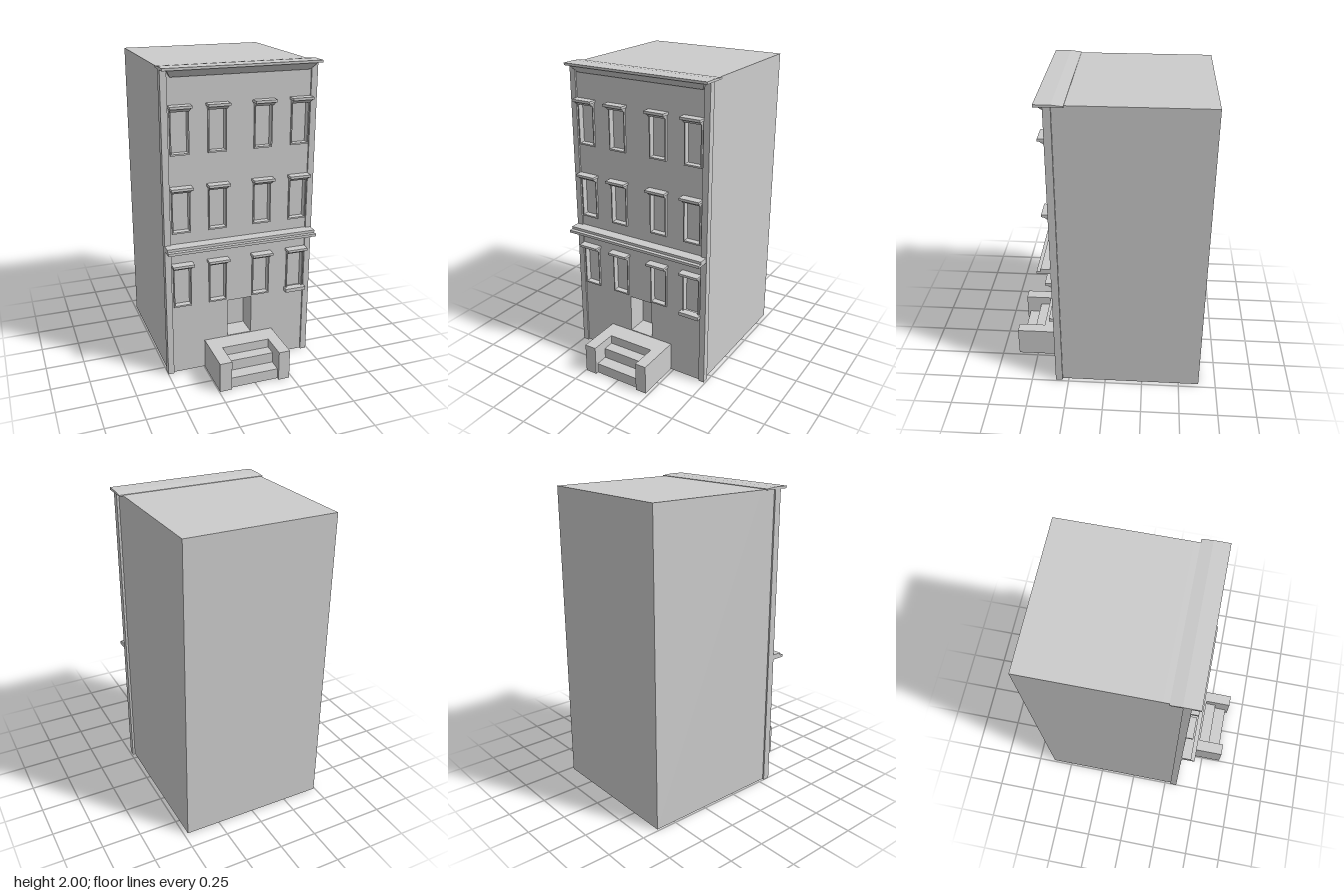
import * as THREE from 'three';

const material = new THREE.MeshStandardMaterial({ color: 0xcccccc, side: THREE.DoubleSide });
const FACE = 0.327; // z of the front wall

function add(parent, name, geometry) {
  const mesh = new THREE.Mesh(geometry, material);
  mesh.name = name;
  parent.add(mesh);
  return mesh;
}

// Box given by its limits
function box(x0, x1, y0, y1, z0, z1) {
  return new THREE.BoxGeometry(x1 - x0, y1 - y0, z1 - z0)
    .translate((x0 + x1) / 2, (y0 + y1) / 2, (z0 + z1) / 2);
}

// Box whose underside is narrower and shallower than its top
function bracket(x0, x1, y0, y1, z0, z1, inset, zBottom) {
  const g = box(x0, x1, y0, y1, z0, z1);
  const p = g.attributes.position;
  const mid = (x0 + x1) / 2;
  const middleY = (y0 + y1) / 2;
  for (let i = 0; i < p.count; i++) {
    if (p.getY(i) > middleY) continue;
    p.setX(i, p.getX(i) - Math.sign(p.getX(i) - mid) * inset);
    if (p.getZ(i) > (z0 + z1) / 2) p.setZ(i, zBottom);
  }
  g.computeVertexNormals();
  return g;
}

// Side profile of [z, y] points, run along x
function profileAlongX(x0, x1, points) {
  const shape = new THREE.Shape(points.map(([z, y]) => new THREE.Vector2(z, y)));
  return new THREE.ExtrudeGeometry(shape, { depth: x1 - x0, bevelEnabled: false })
    .rotateY(-Math.PI / 2).translate(x1, 0, 0);
}

function rectangle(Type, x0, x1, y0, y1) {
  return new Type([[x0, y0], [x1, y0], [x1, y1], [x0, y1]].map(([x, y]) => new THREE.Vector2(x, y)));
}

export function createModel() {
  const model = new THREE.Group();
  model.name = 'townhouse';

  const columns = [-0.39, -0.155, 0.14, 0.383];
  const rows = [0.48, 0.983, 1.478]; // bottom of each window
  const half = 0.052;
  const height = 0.262;

  // Rear block and front wall with openings for door and windows
  const rear = 0.185;
  add(model, 'mainBlock', box(-0.49, 0.475, 0.003, 1.99, -0.635, rear));
  const wall = rectangle(THREE.Shape, -0.49, 0.475, 0.003, 1.99);
  wall.holes.push(rectangle(THREE.Path, -0.085, 0.08, 0.205, 0.465));
  for (const y of rows) {
    for (const x of columns) {
      wall.holes.push(rectangle(THREE.Path, x - half, x + half, y + 0.01, y + height));
    }
  }
  add(model, 'frontWall', new THREE.ExtrudeGeometry(wall, { depth: FACE - rear, bevelEnabled: false })
    .translate(0, 0, rear));

  // Windows: recessed pane, thin frame and projecting hood
  for (const y of rows) {
    for (const x of columns) {
      const win = new THREE.Group();
      win.name = 'window';
      win.position.set(x, y, 0);
      model.add(win);
      add(win, 'pane', box(-half, half, 0.01, height, 0.28, 0.3));
      const frame = rectangle(THREE.Shape, -0.059, 0.059, 0, height + 0.005);
      frame.holes.push(rectangle(THREE.Path, -half, half, 0.01, height));
      add(win, 'frame', new THREE.ExtrudeGeometry(frame, { depth: 0.02, bevelEnabled: false })
        .translate(0, 0, 0.32));
      add(win, 'hoodBracket', bracket(-0.064, 0.064, height, 0.285, 0.32, 0.376, 0.005, 0.345));
      add(win, 'hood', box(-0.069, 0.069, 0.285, 0.301, 0.32, 0.383));
    }
  }
  add(model, 'windowSill', box(0.313, 0.452, 0.473, 0.497, 0.32, 0.37));

  // Corner pilasters
  for (const x of [-0.48, 0.47]) {
    add(model, 'pilaster', box(x - 0.02, x + 0.02, 0, 1.985, 0.292, 0.338));
  }

  // Stepped band above the ground floor
  add(model, 'beltCourse', profileAlongX(-0.5, 0.485, [
    [0.31, 0.878], [0.425, 0.878], [0.425, 0.895], [0.4, 0.895], [0.4, 0.912], [0.31, 0.912],
  ]));

  // Roof cornice
  add(model, 'corniceBracket', bracket(-0.47, 0.47, 1.94, 1.985, 0.3, 0.38, 0.03, 0.335));
  add(model, 'cornice', profileAlongX(-0.5, 0.497, [
    [0.22, 1.985], [0.39, 1.985], [0.39, 2], [0.29, 2], [0.22, 1.993],
  ]));

  // Stoop: two cheek walls and an open-bottomed flight between them
  add(model, 'stoopWallRight', box(-0.245, -0.165, 0, 0.2, 0.32, 0.635));
  add(model, 'stoopWallLeft', box(0.155, 0.23, 0, 0.2, 0.32, 0.635));
  const t = 0.005;
  [[0.455, 0.2, 0.32], [0.53, 0.14, 0.455], [0.615, 0.07, 0.53]].forEach(([z, y, zBack], i) => {
    const below = [0.14, 0.07, 0][i];
    add(model, 'stepTread', box(-0.165, 0.155, y - t, y, zBack - t, z));
    add(model, 'stepRiser', box(-0.165, 0.155, below, y - t, z - t, z));
  });

  return model;
}
